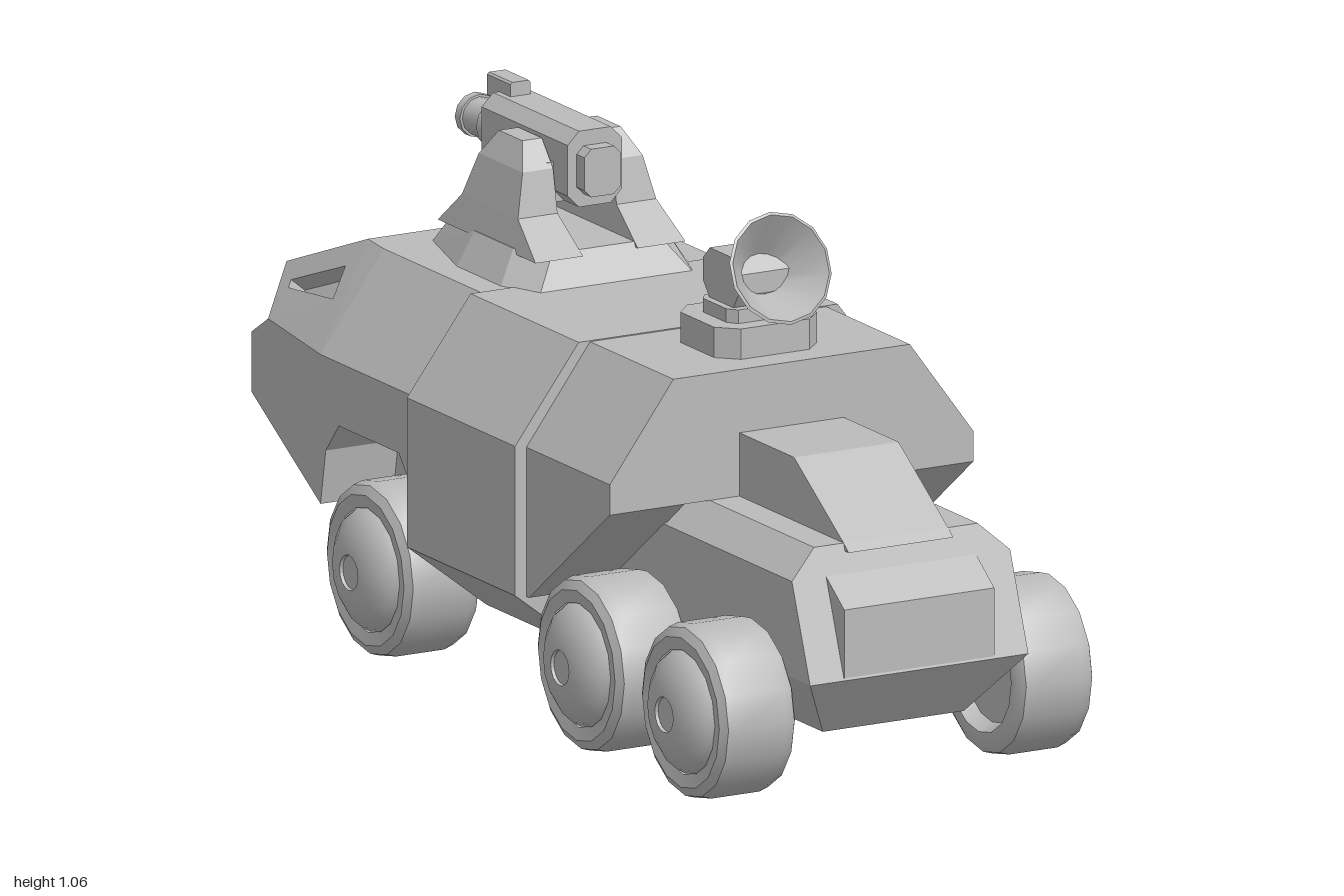
import * as THREE from 'three';
import { toCreasedNormals } from 'three/addons/utils/BufferGeometryUtils.js';

const grey = new THREE.MeshStandardMaterial({ color: 0xbbbbbb, side: THREE.DoubleSide });
grey.name = 'hullGrey';

function part(parent, name, geometry) {
  const m = new THREE.Mesh(geometry, grey);
  m.name = name;
  parent.add(m);
  return m;
}

// Flat-shaded polygons, each a convex list of corners
function polygons(faces) {
  const pos = [];
  for (const f of faces)
    for (let i = 1; i < f.length - 1; i++) pos.push(...f[0], ...f[i], ...f[i + 1]);
  const g = new THREE.BufferGeometry();
  g.setAttribute('position', new THREE.Float32BufferAttribute(pos, 3));
  g.computeVertexNormals();
  return g;
}

// Solid through a row of closed rings
function loft(rings) {
  const faces = [[...rings[0]].reverse(), rings[rings.length - 1]];
  for (let k = 0; k < rings.length - 1; k++) {
    const a = rings[k], b = rings[k + 1], n = a.length;
    for (let i = 0; i < n; i++) {
      const j = (i + 1) % n;
      faces.push([a[i], a[j], b[j], b[i]]);
    }
  }
  return polygons(faces);
}

const flip = ([x, y, z]) => [-x, y, z];
const mirrored = half => [...half, ...[...half].reverse().map(flip)];
const sectionZ = (half, z) => mirrored(half.map(([x, y]) => [x, y, z]));
const sectionY = (half, y) => mirrored(half.map(([x, z]) => [x, y, z]));
const rectY = (y, x0, x1, z0, z1) => [[x1, y, z0], [x1, y, z1], [x0, y, z1], [x0, y, z0]];

// Side profile of [z, y] points given a width from x0 to x1
function slab(profile, x0, x1) {
  const shape = new THREE.Shape(profile.map(p => new THREE.Vector2(...p)));
  return new THREE.ExtrudeGeometry(shape, { depth: x1 - x0, bevelEnabled: false })
    .rotateY(-Math.PI / 2).translate(x1, 0, 0);
}

// Four-sided panel with a sunken opening; the opening uses u, v inside the panel
function sunkenPanel([a, b, c, d], uv, depth) {
  const mix = (p, q, t) => p.map((v, i) => v + (q[i] - v) * t);
  const outer = [a, b, c, d];
  const rim = uv.map(([u, v]) => mix(mix(a, b, u), mix(d, c, u), v));
  const floor = rim.map(p => p.map((v, i) => v + depth[i]));
  const faces = [floor];
  for (let i = 0; i < 4; i++) {
    const j = (i + 1) % 4;
    faces.push([outer[i], outer[j], rim[j], rim[i]], [rim[i], rim[j], floor[j], floor[i]]);
  }
  return faces;
}

function lathe(points, sides, crease = 0.6) {
  return toCreasedNormals(new THREE.LatheGeometry(points.map(p => new THREE.Vector2(...p)), sides), crease);
}

// Tapering rear of the hull with side windows and a slot under the roof edge
function addRear(group) {
  const A = [0.26, 0.745, -0.6], A2 = [0.25, 0.745, -0.68], T = [0.28, 0.645, -0.94];
  const B = [0.4, 0.555, -0.6], C = [0.4, 0.26, -0.6], S = [0.355, 0.555, -0.88];
  const R1 = [0.345, 0.51, -0.96], R2 = [0.345, 0.39, -0.96];
  const bands = [A, A2, T];
  const lower = [S, R1, R2, C];
  const faces = [];
  for (const row of [bands, lower])
    for (let i = 0; i < row.length - 1; i++)
      faces.push([row[i], row[i + 1], flip(row[i + 1]), flip(row[i])]);
  faces.push([C, B, A, flip(A), flip(B), flip(C)]);
  faces.push(...sunkenPanel([T, flip(T), flip(S), S],
    [[0.08, 0.25], [0.92, 0.25], [0.92, 0.75], [0.08, 0.75]], [0, 0.01, 0.04]));
  const side = [[A, B, A2], [B, C, R2, R1, S],
    ...sunkenPanel([A2, B, S, T],
      [[0.22, 0.16], [0.53, 0.15], [0.45, 0.85], [0.33, 0.85]], [-0.03, -0.025, 0])];
  faces.push(...side, ...side.map(f => f.map(flip).reverse()));
  part(group, 'rearHull', polygons(faces));

  part(group, 'rearBumper', slab([[-0.8, 0.31], [-0.84, 0.29], [-0.92, 0.29], [-1, 0.345],
    [-1, 0.405], [-0.96, 0.42], [-0.9, 0.42]], -0.16, 0.16));
}

function addHull(group) {
  const upper = [[0.26, 0.745], [0.4, 0.555], [0.4, 0.495]];
  part(group, 'upperHull', loft([sectionZ(upper, 0.51), sectionZ(upper, -0.6)]));
  const belt = [[0.285, 0.747], [0.425, 0.56], [0.425, 0.265], [0.25, 0.128]];
  part(group, 'middleBody', loft([sectionZ(belt, 0.19), sectionZ(belt, -0.225)]));
  part(group, 'keel', slab([[0.25, 0.13], [-0.24, 0.13], [-0.6, 0.26], [-0.6, 0.5], [0.25, 0.5]], -0.24, 0.24));

  // Side skirts with an angular rear wheel arch
  const skirt = [[0.51, 0.495], [0.2, 0.26], [-0.23, 0.26], [-0.25, 0.37], [-0.3, 0.43],
    [-0.53, 0.43], [-0.58, 0.37], [-0.6, 0.26], [-0.6, 0.555], [0.51, 0.555]];
  part(group, 'leftSkirt', slab(skirt, 0.235, 0.4));
  part(group, 'rightSkirt', slab(skirt, -0.4, -0.235));
  addRear(group);
}

function addCab(group) {
  const cab = [[0.18, 0.495, 0.91], [0.24, 0.44, 0.93], [0.24, 0.25, 1]];
  const chin = [[0.24, 0.25, 1], [0.155, 0.125, 0.9]];
  for (const [name, half] of [['cab', cab], ['chin', chin]])
    part(group, name, loft([mirrored(half), sectionZ(half, 0.24)]));
  part(group, 'cabHood', slab([[0.5, 0.48], [0.93, 0.48], [0.91, 0.495], [0.72, 0.62], [0.5, 0.62]], -0.115, 0.115));
  part(group, 'nosePanel', slab([[0.9, 0.255], [1, 0.255], [1, 0.39], [0.93, 0.44], [0.9, 0.44]], -0.165, 0.165));
}

function addWheels(group) {
  // Tyre and domed hub, turned around the axle
  const tyre = lathe([[0, 0.03], [0.11, 0.03], [0.125, 0], [0.15, 0], [0.166, 0.01], [0.172, 0.03],
    [0.172, 0.135], [0.166, 0.155], [0.148, 0.165], [0.122, 0.16]], 16);
  const hub = lathe([[0.122, 0.155], [0.112, 0.172], [0.085, 0.19], [0.055, 0.2], [0.035, 0.202],
    [0.033, 0.196], [0, 0.196]], 16);
  for (const side of [1, -1])
    for (const z of [0.8, 0.4, -0.41]) {
      const wheel = new THREE.Group();
      wheel.name = side > 0 ? 'leftWheel' : 'rightWheel';
      part(wheel, 'tyre', tyre);
      part(wheel, 'hub', hub);
      wheel.rotation.z = -side * Math.PI / 2;
      wheel.position.set(side * 0.245, 0.174, z);
      group.add(wheel);
    }
}

function addDish(group) {
  const base = [[0.075, 0.447], [0.113, 0.41], [0.113, 0.28], [0.075, 0.24]];
  part(group, 'dishBase', loft([sectionY(base, 0.74), sectionY(base, 0.805)]));
  const neck = [[0.06, 0.41], [0.075, 0.39], [0.075, 0.3], [0.06, 0.28]];
  part(group, 'dishNeck', loft([sectionY(neck, 0.8), sectionY(neck, 0.832)]));
  part(group, 'dishHead', slab([[0.3, 0.83], [0.39, 0.83], [0.41, 0.86], [0.41, 0.9], [0.38, 0.93],
    [0.3, 0.93], [0.275, 0.905], [0.275, 0.86]], -0.06, 0.06));
  const dish = part(group, 'dish', lathe([[0, 0], [0.042, 0], [0.11, 0.088], [0.104, 0.09], [0.038, 0.008], [0, 0.008]], 14));
  dish.position.set(0, 0.887, 0.386);
  dish.rotation.x = 1.19;
}

function addTurret(group) {
  const foot = [[0.17, -0.16], [0.205, -0.25], [0.205, -0.42], [0.15, -0.61]];
  const top = [[0.12, -0.2], [0.165, -0.27], [0.165, -0.42], [0.12, -0.57]];
  part(group, 'turretBase', loft([sectionY(foot, 0.742), sectionY(top, 0.81)]));

  // Stepped arms cradling the gun
  const arm = loft([rectY(0.8, 0.06, 0.165, -0.185, -0.56), rectY(0.865, 0.065, 0.152, -0.275, -0.49),
    rectY(0.95, 0.065, 0.132, -0.292, -0.46), rectY(1, 0.065, 0.108, -0.335, -0.425)]);
  for (const side of [1, -1])
    part(group, side > 0 ? 'leftArm' : 'rightArm', arm).scale.x = side;
  part(group, 'gunCradle', new THREE.BoxGeometry(0.15, 0.08, 0.16).translate(0, 0.92, -0.38));

  const gunSection = (w, y0, y1, c) => [[w - c, y1], [w, y1 - c], [w, y0 + c], [w - c, y0]];
  for (const [name, half, z0, z1] of [
    ['gunBody', gunSection(0.06, 0.88, 1.03, 0.025), -0.245, -0.575],
    ['gunFront', gunSection(0.04, 0.905, 1.0, 0.015), -0.215, -0.26],
    ['gunSight', gunSection(0.022, 1.01, 1.058, 0.004), -0.53, -0.62]])
    part(group, name, loft([sectionZ(half, z0), sectionZ(half, z1)]));

  const barrel = part(group, 'barrel', lathe([[0.048, 0], [0.048, 0.045], [0.038, 0.05], [0.038, 0.115],
    [0.043, 0.115], [0.043, 0.135], [0.028, 0.135], [0.028, 0.06], [0, 0.06]], 12));
  barrel.position.set(0, 0.953, -0.573);
  barrel.rotation.x = -Math.PI / 2;
}

export function createModel() {
  const group = new THREE.Group();
  group.name = 'armouredVehicle';
  for (const [name, build] of [['hull', addHull], ['cabSection', addCab], ['wheels', addWheels],
    ['dishAntenna', addDish], ['turret', addTurret]]) {
    const section = new THREE.Group();
    section.name = name;
    build(section);
    group.add(section);
  }
  return group;
}
